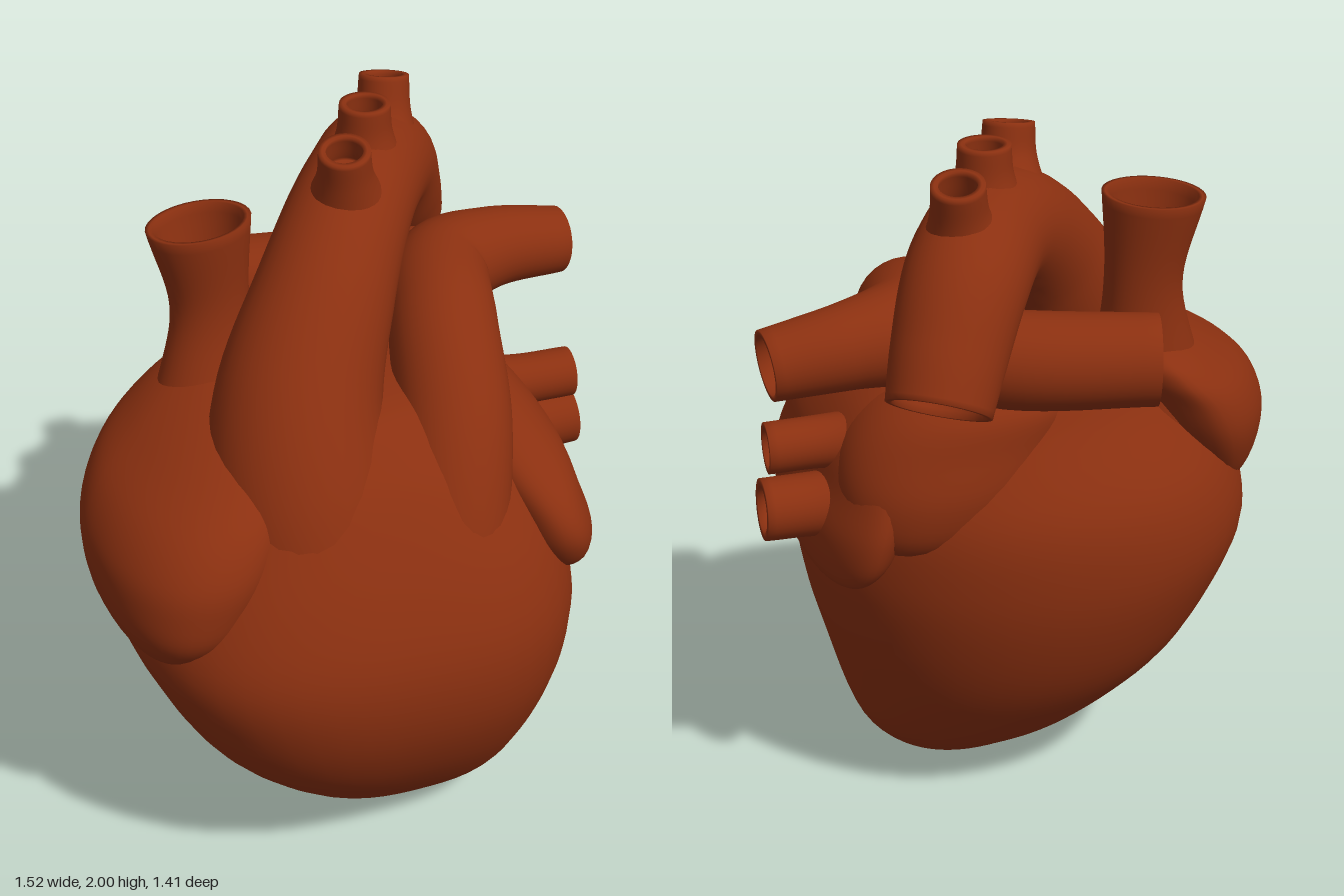
import * as THREE from 'three';

const V = (a) => new THREE.Vector3(a[0], a[1], a[2]);
const muscle = new THREE.MeshStandardMaterial({ color: 0x8b3010 });
muscle.name = 'muscle red';

// Smooth skin over a list of rings, closed by a fan at both ends
function skin(rings) {
  const n = rings[0].length, pos = [], idx = [];
  rings.forEach((ring) => ring.forEach((p) => pos.push(p.x, p.y, p.z)));
  for (let i = 0; i < rings.length - 1; i++) {
    for (let j = 0; j < n; j++) {
      const k = (j + 1) % n, a = i * n, b = a + n;
      idx.push(a + j, a + k, b + j, a + k, b + k, b + j);
    }
  }
  [0, rings.length - 1].forEach((r) => {
    const c = new THREE.Vector3();
    rings[r].forEach((p) => c.addScaledVector(p, 1 / n));
    const ci = pos.length / 3;
    pos.push(c.x, c.y, c.z);
    for (let j = 0; j < n; j++) {
      const a = r * n + j, b = r * n + (j + 1) % n;
      if (r === 0) idx.push(ci, b, a); else idx.push(ci, a, b);
    }
  });
  const g = new THREE.BufferGeometry();
  g.setAttribute('position', new THREE.Float32BufferAttribute(pos, 3));
  g.setIndex(idx);
  g.computeVertexNormals();
  return g;
}

// Chamber from horizontal sections [y, xMin, xMax, zMin, zMax]; the powers set how boxy front and back are
function chamber(sections, frontPower, backPower) {
  const cx = new THREE.CatmullRomCurve3(sections.map((s) => V(s)), false, 'catmullrom', 0.5);
  const cz = new THREE.CatmullRomCurve3(sections.map((s) => V([s[0], s[3], s[4]])), false, 'catmullrom', 0.5);
  const steps = (sections.length - 1) * 5, rings = [];
  for (let i = 0; i <= steps; i++) {
    const X = cx.getPoint(i / steps), Z = cz.getPoint(i / steps), ring = [];
    for (let j = 0; j < 56; j++) {
      const a = j / 56 * Math.PI * 2, c = Math.cos(a), s = -Math.sin(a);
      const p = s > 0 ? frontPower : backPower;
      const r = Math.pow(Math.abs(c) ** p + Math.abs(s) ** p, -1 / p);
      ring.push(new THREE.Vector3(
        (X.y + X.z) / 2 + (X.z - X.y) / 2 * c * r, X.x,
        (Z.y + Z.z) / 2 + (Z.z - Z.y) / 2 * s * r));
    }
    rings.push(ring);
  }
  return skin(rings);
}

// Vessel through points [x, y, z, radius], hollow at its last end
function vessel(points, wall = 0.84, squash = 1) {
  const path = new THREE.CatmullRomCurve3(points.map((p) => V(p)));
  const radii = new THREE.CatmullRomCurve3(points.map((p, i) => new THREE.Vector3(i, p[3], 0)), false, 'catmullrom', 0.5);
  const steps = (points.length - 1) * 8, sides = 32, frames = [];
  let normal = null;
  for (let i = 0; i <= steps; i++) {
    const t = path.getTangent(i / steps);
    if (!normal) normal = Math.abs(t.x) < 0.7 ? new THREE.Vector3(1, 0, 0) : new THREE.Vector3(0, 1, 0);
    normal = normal.clone().addScaledVector(t, -normal.dot(t)).normalize();
    frames.push({ c: path.getPoint(i / steps), n: normal, b: t.clone().cross(normal), r: radii.getPoint(i / steps).y });
  }
  const ring = (f, k) => Array.from({ length: sides }, (_, j) => {
    const a = j / sides * Math.PI * 2;
    return f.c.clone().addScaledVector(f.n, Math.cos(a) * f.r * k).addScaledVector(f.b, Math.sin(a) * f.r * k * squash);
  });
  const rings = frames.map((f) => ring(f, 1));
  const end = frames[steps];
  rings.push(ring(end, (1 + wall) / 2));
  for (let i = steps; i >= steps - 7; i--) rings.push(ring(frames[i], wall));
  return skin(rings);
}

export function createModel() {
  const heart = new THREE.Group();
  heart.name = 'heart';
  const add = (name, geometry) => {
    const m = new THREE.Mesh(geometry, muscle);
    m.name = name;
    heart.add(m);
  };

  // Main muscle, from apex to base
  add('ventricles', chamber([
    [0.005, 0.16, 0.17, 0.15, 0.16],
    [0.05, -0.02, 0.30, 0.02, 0.29],
    [0.1, -0.13, 0.38, -0.06, 0.37],
    [0.2, -0.29, 0.45, -0.18, 0.47],
    [0.4, -0.49, 0.51, -0.34, 0.61],
    [0.6, -0.61, 0.56, -0.43, 0.69],
    [0.8, -0.68, 0.58, -0.47, 0.70],
    [1.0, -0.62, 0.53, -0.45, 0.63],
    [1.2, -0.47, 0.38, -0.33, 0.51],
    [1.3, -0.40, 0.28, -0.27, 0.42],
    [1.37, -0.34, 0.16, -0.15, 0.33],
    [1.4, -0.2, 0.0, 0.0, 0.2],
  ], 2.7, 2.1));

  // Upper chambers
  add('rightAtrium', chamber([
    [0.77, -0.62, -0.58, 0.22, 0.28],
    [0.81, -0.69, -0.48, -0.02, 0.43],
    [0.9, -0.74, -0.38, -0.15, 0.52],
    [1.0, -0.76, -0.3, -0.23, 0.54],
    [1.1, -0.75, -0.24, -0.28, 0.53],
    [1.2, -0.69, -0.2, -0.3, 0.47],
    [1.28, -0.58, -0.18, -0.3, 0.36],
    [1.34, -0.47, -0.2, -0.26, 0.2],
    [1.38, -0.36, -0.28, -0.14, -0.02],
  ], 2.2, 1.65));
  add('leftAuricle', chamber([
    [0.775, 0.54, 0.58, -0.05, 0.05],
    [0.79, 0.47, 0.61, -0.22, 0.24],
    [0.85, 0.39, 0.635, -0.3, 0.44],
    [0.95, 0.34, 0.635, -0.33, 0.52],
    [1.05, 0.32, 0.6, -0.32, 0.52],
    [1.15, 0.28, 0.57, -0.29, 0.44],
    [1.25, 0.25, 0.5, -0.24, 0.27],
    [1.31, 0.28, 0.42, -0.16, 0.1],
    [1.33, 0.34, 0.36, -0.06, -0.02],
  ], 2.2, 1.9));
  add('leftAtrium', chamber([
    [0.86, 0.3, 0.4, -0.2, -0.12],
    [0.92, 0.12, 0.53, -0.33, 0.05],
    [1.05, 0.0, 0.56, -0.37, 0.1],
    [1.18, -0.08, 0.53, -0.355, 0.1],
    [1.28, -0.1, 0.45, -0.335, 0.08],
    [1.34, 0.0, 0.33, -0.27, 0.0],
    [1.36, 0.1, 0.2, -0.17, -0.1],
  ], 2.2, 2.2));

  // Great artery, growing out of the front wall and arching to the back
  add('aorta', vessel([
    [-0.19, 0.85, 0.4, 0.22],
    [-0.2, 1.13, 0.27, 0.25],
    [-0.165, 1.37, 0.16, 0.225],
    [-0.04, 1.6, 0.025, 0.188],
    [0.08, 1.725, -0.12, 0.168],
    [0.17, 1.755, -0.24, 0.16],
    [0.28, 1.71, -0.41, 0.16],
    [0.36, 1.57, -0.52, 0.147],
    [0.405, 1.46, -0.58, 0.135],
  ], 0.88));

  // Three small flared branches on the arch
  [
    [[0.06, 1.78, -0.08], [0.042, 1.89, -0.04], [0.032, 1.98, -0.02]],
    [[0.165, 1.8, -0.22], [0.165, 1.91, -0.22], [0.165, 2.0, -0.22]],
    [[0.265, 1.78, -0.36], [0.285, 1.88, -0.39], [0.297, 1.975, -0.415]],
  ].forEach(([a, b, c], i) => add('archBranch' + (i + 1),
    vessel([[...a, 0.122], [...b, 0.078], [...c, 0.068]], 0.72)));

  // Lung arteries: trunk sweeping to the left, and the right branch behind
  add('pulmonaryTrunk', vessel([
    [0.14, 0.8, 0.48, 0.15],
    [0.18, 1.07, 0.39, 0.16],
    [0.24, 1.29, 0.25, 0.157],
    [0.29, 1.45, 0.05, 0.148],
    [0.37, 1.49, -0.15, 0.14],
    [0.53, 1.495, -0.21, 0.115],
    [0.75, 1.475, -0.22, 0.094],
  ]));
  add('rightPulmonaryArtery', vessel([
    [0.37, 1.475, -0.2, 0.11],
    [0.13, 1.44, -0.31, 0.13],
    [-0.24, 1.43, -0.415, 0.122],
  ], 0.9));

  // Veins
  add('venaCava', vessel([
    [-0.34, 1.1, -0.07, 0.22],
    [-0.32, 1.36, -0.11, 0.135],
    [-0.31, 1.55, -0.13, 0.108],
    [-0.33, 1.78, -0.14, 0.142],
  ], 0.86, 0.85));
  add('upperPulmonaryVein', vessel([
    [0.38, 1.14, -0.08, 0.11], [0.54, 1.15, -0.045, 0.075], [0.72, 1.15, -0.035, 0.07],
  ], 0.74));
  add('lowerPulmonaryVein', vessel([
    [0.4, 0.97, -0.1, 0.12], [0.58, 0.98, -0.07, 0.09], [0.745, 0.985, -0.065, 0.085],
  ], 0.74));

  return heart;
}
